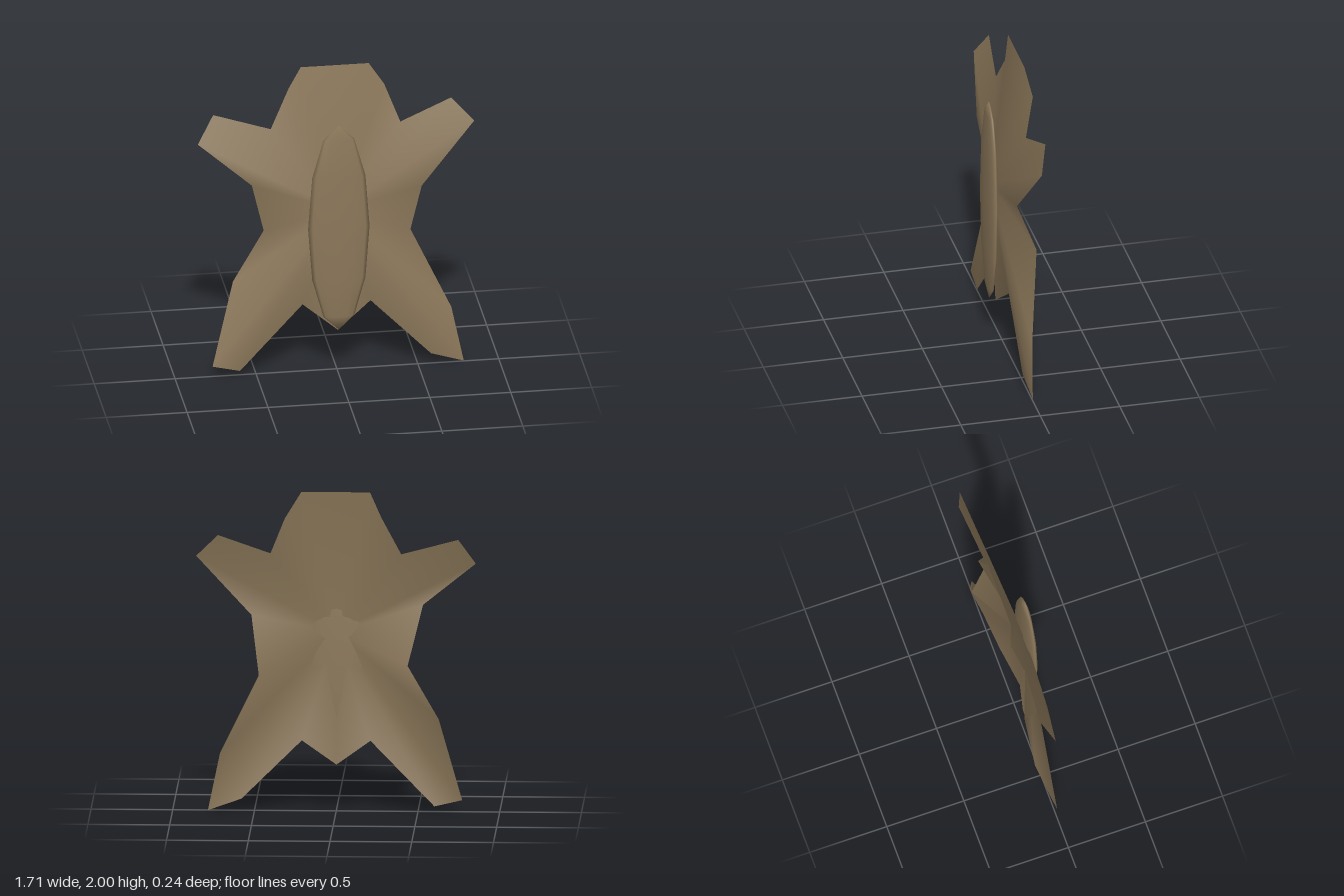
import * as THREE from 'three';

const hideBrown = new THREE.MeshStandardMaterial({ color: 0x8c785a, side: THREE.DoubleSide });
hideBrown.name = 'hideBrown';

// Outline of the stretched hide, counter-clockwise from the top
const outline = [
  [0.21, 2.0, -0.09], [-0.21, 2.0, -0.09], [-0.28, 1.85, -0.12], [-0.40, 1.61, -0.06], // neck
  [-0.75, 1.71, -0.10], [-0.855, 1.55, -0.03], [-0.53, 1.28, 0.03],                    // right foreleg
  [-0.44, 0.92, -0.085], [-0.63, 0.59, -0.085],                                        // right flank
  [-0.77, 0.07, 0.01], [-0.60, 0.03, 0.01], [-0.21, 0.44, -0.015],                     // right hind leg
  [0, 0.28, 0.04],                                                                     // tail
  [0.21, 0.44, -0.015], [0.58, 0.07, 0.01], [0.785, 0, -0.005], [0.71, 0.36, -0.02],   // left hind leg
  [0.47, 0.86, -0.105], [0.52, 1.21, 0.03],                                            // left flank
  [0.855, 1.59, -0.045], [0.72, 1.73, -0.10], [0.40, 1.61, -0.055], [0.31, 1.84, -0.12], // left foreleg
];

// Folded sheet: a smooth fan from the raised middle to the outline
function hideGeometry(hub, rim) {
  const index = [];
  for (let i = 0; i < rim.length; i++) index.push(0, i + 1, ((i + 1) % rim.length) + 1);
  const geo = new THREE.BufferGeometry();
  geo.setAttribute('position', new THREE.Float32BufferAttribute([hub, ...rim].flat(), 3));
  geo.setIndex(index);
  geo.computeVertexNormals();
  return geo;
}

export function createModel() {
  const group = new THREE.Group();
  group.name = 'hideShield';

  const hide = new THREE.Mesh(hideGeometry([0, 1.1, 0.075], outline), hideBrown);
  hide.name = 'hide';
  group.add(hide);

  // Long flattened boss on the front
  const bossGeo = new THREE.SphereGeometry(1, 12, 6);
  bossGeo.scale(0.19, 0.685, 0.036);
  const boss = new THREE.Mesh(bossGeo, hideBrown);
  boss.name = 'boss';
  boss.position.set(0, 0.985, 0.08);
  group.add(boss);

  return group;
}
